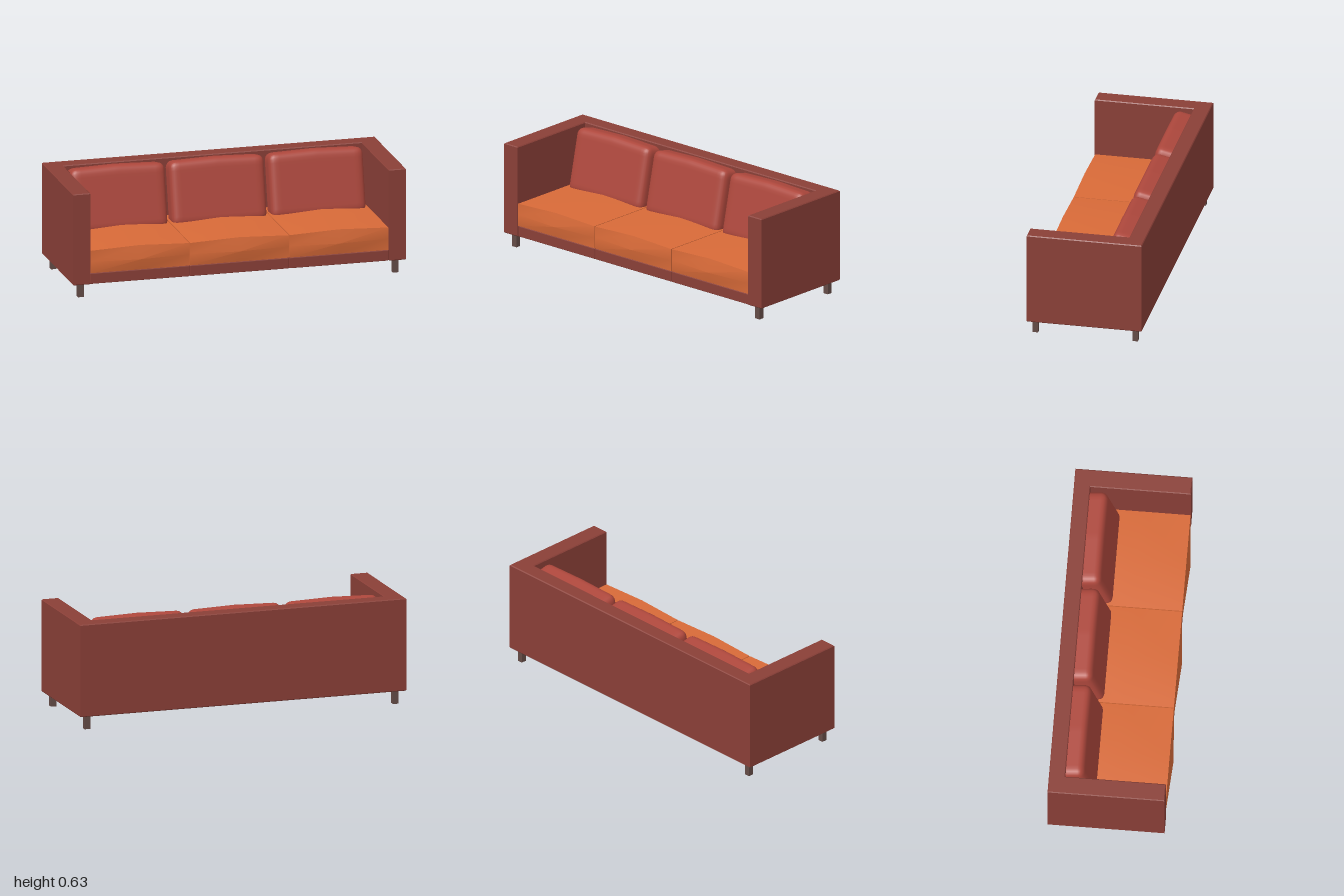
import * as THREE from 'three';
import { mergeVertices, toCreasedNormals } from 'three/addons/utils/BufferGeometryUtils.js';
import { RoundedBoxGeometry } from 'three/addons/geometries/RoundedBoxGeometry.js';

const material = (name, color) => {
  const m = new THREE.MeshStandardMaterial({ color });
  m.name = name;
  return m;
};

// Move every vertex by a rule, then weld so normals can be smoothed
function reshape(geometry, rule) {
  const pos = geometry.attributes.position;
  const v = new THREE.Vector3();
  for (let i = 0; i < pos.count; i++) {
    rule(v.fromBufferAttribute(pos, i));
    pos.setXYZ(i, v.x, v.y, v.z);
  }
  geometry.deleteAttribute('normal');
  geometry.deleteAttribute('uv');
  const welded = mergeVertices(geometry, 1e-5);
  welded.computeVertexNormals();
  return welded;
}

// U-shaped shell: back and both arms in one piece
function shellGeometry() {
  const bevel = 0.005;
  const outline = [[-1, -0.33], [-0.895, -0.33], [-0.895, 0.255], [0.895, 0.255],
    [0.895, -0.33], [1, -0.33], [1, 0.35], [-1, 0.35]];
  const shape = new THREE.Shape(outline.map(([x, y]) => new THREE.Vector2(x, y)));
  const g = new THREE.ExtrudeGeometry(shape, {
    depth: 0.55 - 2 * bevel, bevelEnabled: true, bevelSegments: 1,
    bevelSize: bevel, bevelThickness: bevel, bevelOffset: -bevel,
  });
  return g.rotateX(-Math.PI / 2).translate(0, 0.08 + bevel, 0);
}

// Seat cushion: a box peaked at the middle of its top and front
function seatGeometry() {
  const w = 0.592, h = 0.135, d = 0.583;
  const g = reshape(new THREE.BoxGeometry(w, h, d, 2, 2, 2), (v) => {
    const midX = 1 - Math.abs(v.x) / (w / 2);
    const midY = 1 - Math.abs(v.y) / (h / 2);
    const midZ = 1 - Math.abs(v.z) / (d / 2);
    if (v.y > h / 2 - 1e-4) v.y += midX * (0.012 + 0.008 * midZ);
    if (v.z > d / 2 - 1e-4) v.z += 0.023 * midX * midY;
  });
  return toCreasedNormals(g, 0.6);
}

// Back cushion: a rounded box with a slight crown
function backCushionGeometry() {
  const half = new THREE.Vector3(0.284, 0.19, 0.07);
  const r = 0.04;
  const inner = half.clone().subScalar(r);
  const outer = inner.clone().negate();
  const core = new THREE.Vector3();
  return reshape(new THREE.BoxGeometry(half.x * 2, half.y * 2, half.z * 2, 28, 20, 12), (v) => {
    core.copy(v).clamp(outer, inner);
    v.sub(core).setLength(r).add(core);
    const midX = 1 - Math.abs(v.x) / half.x;
    if (v.y > 0) v.y += 0.009 * midX * (v.y / half.y);
  });
}

export function createModel() {
  const frameMat = material('frame fabric', 0x8a3f37);
  const backMat = material('back cushion fabric', 0xad473c);
  const seatMat = material('seat cushion fabric', 0xd86a38);
  const legMat = material('leg', 0x644b46);

  const model = new THREE.Group();
  model.name = 'sofa';
  const add = (name, geometry, mat, x, y, z) => {
    const mesh = new THREE.Mesh(geometry, mat);
    mesh.name = name;
    mesh.position.set(x, y, z);
    model.add(mesh);
    return mesh;
  };

  add('shell', shellGeometry(), frameMat, 0, 0, 0);

  // Three seats side by side, each with base, seat and back cushion
  const base = new RoundedBoxGeometry(0.595, 0.064, 0.583, 1, 0.004);
  const seat = seatGeometry();
  const backCushion = backCushionGeometry();
  for (const i of [-1, 0, 1]) {
    add('base', base, frameMat, i * 0.597, 0.113, 0.0355);
    add('seatCushion', seat, seatMat, i * 0.597, 0.2145, 0.0355);
    add('backCushion', backCushion, backMat, i * 0.595, 0.432, -0.182).rotation.x = -0.22;
  }

  // Four square legs
  const leg = new THREE.BoxGeometry(0.034, 0.084, 0.033);
  for (const x of [-0.945, 0.945]) {
    for (const z of [0.287, -0.304]) add('leg', leg, legMat, x, 0.042, z);
  }
  return model;
}
